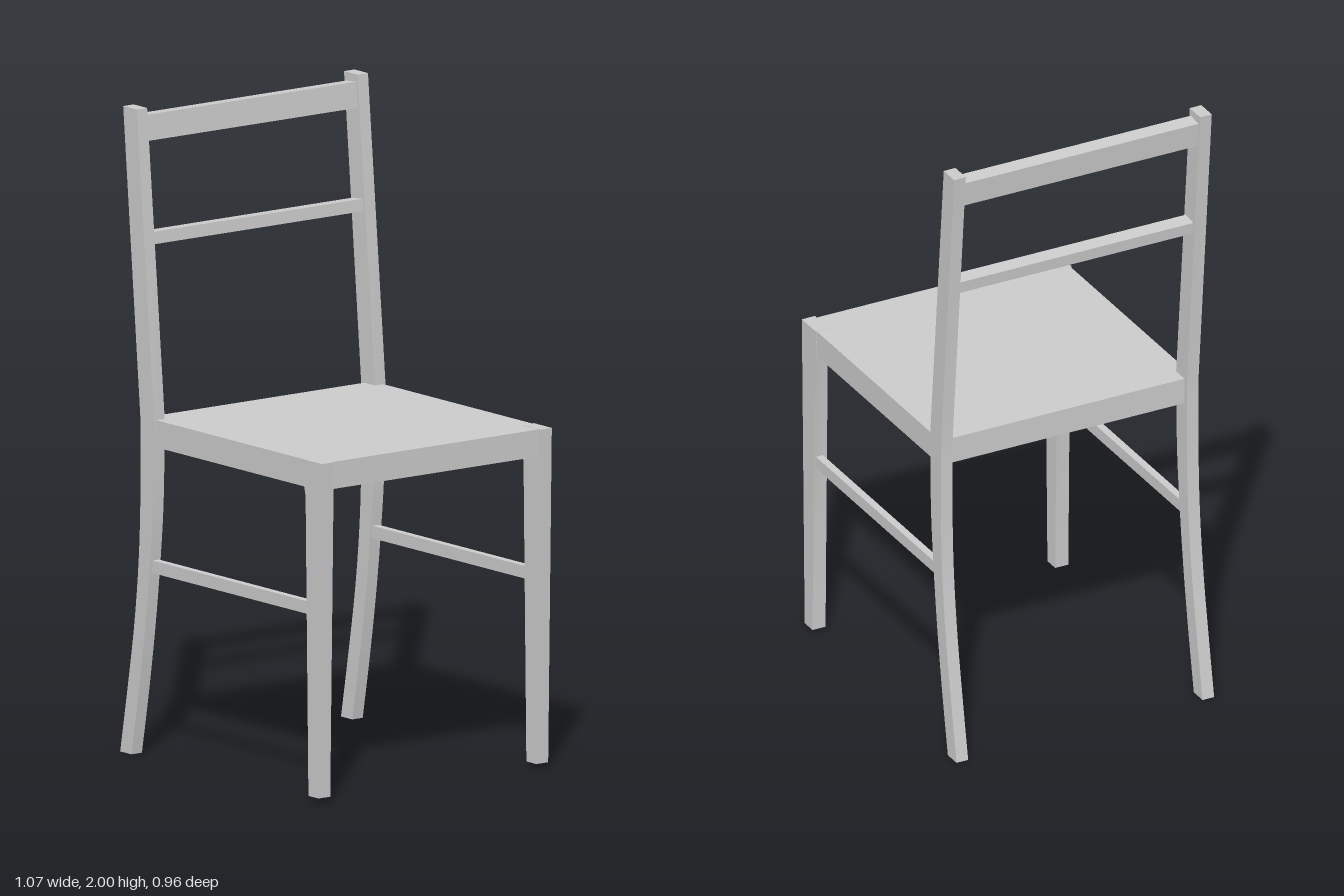
import * as THREE from 'three';
import { toCreasedNormals } from 'three/addons/utils/BufferGeometryUtils.js';

const material = new THREE.MeshStandardMaterial({ color: 0xcccccc });

// Extrude a side profile (x forward, y up) between two z values
function slab(shape, z0, z1) {
  const geo = new THREE.ExtrudeGeometry(shape, { depth: z1 - z0, bevelEnabled: false, curveSegments: 3 });
  geo.translate(0, 0, z0);
  return toCreasedNormals(geo, 0.5);
}

function box(x0, x1, y0, y1, z0, z1) {
  const geo = new THREE.BoxGeometry(x1 - x0, y1 - y0, z1 - z0);
  return geo.translate((x0 + x1) / 2, (y0 + y1) / 2, (z0 + z1) / 2);
}

const vectors = (pts) => pts.map(([x, y]) => new THREE.Vector2(x, y));

// Back leg and back post in one piece: leaning straight top, swept foot
function backLegShape() {
  const s = new THREE.Shape();
  s.moveTo(-0.485, 2);
  s.lineTo(-0.4, 1.05);
  s.splineThru(vectors([[-0.4, 0.8], [-0.409, 0.6], [-0.431, 0.4], [-0.464, 0.2], [-0.5, 0]]));
  s.lineTo(-0.444, 0);
  s.splineThru(vectors([[-0.408, 0.2], [-0.377, 0.4], [-0.353, 0.6], [-0.336, 0.8], [-0.331, 1.05]]));
  s.lineTo(-0.418, 2);
  return s;
}

// Tapered front leg with a small flare under the seat
function frontLegShape() {
  return new THREE.Shape(vectors([
    [0.478, 0.015], [0.496, 1.053], [0.407, 1.053], [0.407, 0.97], [0.414, 0.94], [0.428, 0.015],
  ]));
}

export function createModel() {
  const chair = new THREE.Group();
  chair.name = 'chair';
  const add = (name, geo) => {
    const mesh = new THREE.Mesh(geo, material);
    mesh.name = name;
    chair.add(mesh);
    return mesh;
  };

  add('seat', box(-0.385, 0.486, 0.968, 1.052, -0.436, 0.436));

  for (const [side, sign] of [['left', -1], ['right', 1]]) {
    const span = (a, b) => (sign > 0 ? [a, b] : [-b, -a]);
    add(side + 'BackLeg', slab(backLegShape(), ...span(0.403, 0.443)));
    add(side + 'FrontLeg', slab(frontLegShape(), ...span(0.395, 0.44)));
    add(side + 'Stretcher', box(-0.37, 0.44, 0.575, 0.614, ...span(0.409, 0.433)));
  }

  // Back rails, tilted to follow the posts
  const lean = Math.atan2(0.086, 0.95);
  for (const [name, x, y, height] of [['topRail', -0.446, 1.935, 0.08], ['lowerRail', -0.415, 1.599, 0.038]]) {
    const rail = add(name, new THREE.BoxGeometry(0.05, height, 0.82));
    rail.position.set(x, y, 0);
    rail.rotation.z = lean;
  }

  // The chair faces +x, turned slightly
  chair.rotation.y = -0.0855;
  const model = new THREE.Group();
  model.name = 'model';
  model.add(chair);
  return model;
}
